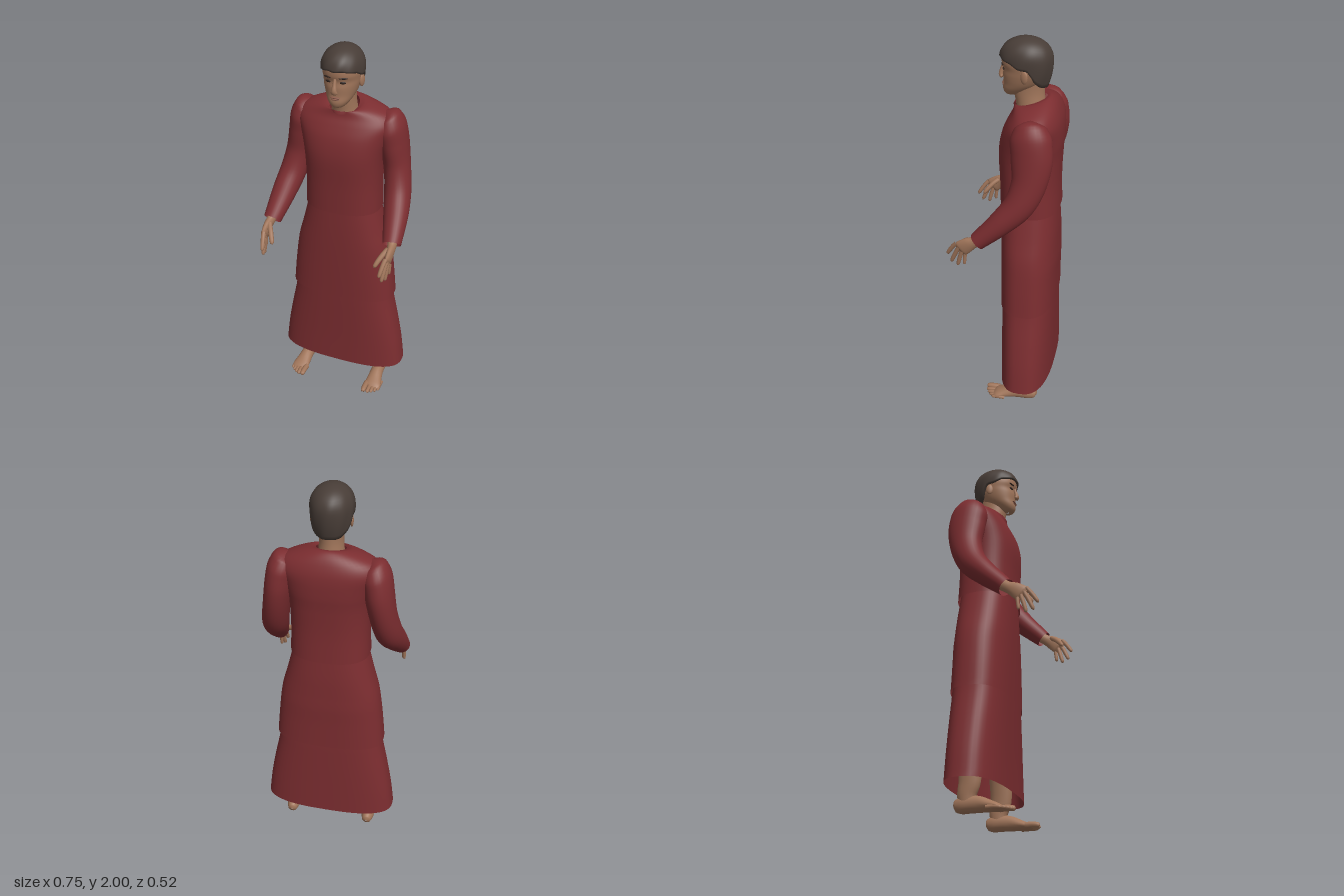
import * as THREE from 'three';

const mat = (name, color, side = THREE.FrontSide) => {
  const m = new THREE.MeshStandardMaterial({ color, side });
  m.name = name;
  return m;
};

// Smoothly resample rows of up to six numbers
function smooth(rows, steps) {
  const curve = (o) => new THREE.CatmullRomCurve3(
    rows.map((r) => new THREE.Vector3(r[o] ?? 0, r[o + 1] ?? 0, r[o + 2] ?? 0)));
  const a = curve(0), b = curve(3), out = [], n = (rows.length - 1) * steps;
  for (let i = 0; i <= n; i++) out.push([...a.getPoint(i / n).toArray(), ...b.getPoint(i / n).toArray()]);
  return out;
}

// Skin closed rings of points into one smooth surface
function skinRings(name, rings, material) {
  const n = rings[0].length, index = [];
  for (let i = 0; i < rings.length - 1; i++) {
    for (let j = 0; j < n; j++) {
      const a = i * n + j, b = i * n + (j + 1) % n;
      index.push(a, b, b + n, a, b + n, a + n);
    }
  }
  const g = new THREE.BufferGeometry().setFromPoints(rings.flat());
  g.setIndex(index);
  g.computeVertexNormals();
  const mesh = new THREE.Mesh(g, material);
  mesh.name = name;
  return mesh;
}

const pow = (v, e) => Math.sign(v) * Math.abs(v) ** e;

// Upright body from rows of [y, half width, front z, back z, roundness, tilt]
function loft(name, rows, material, steps = 4, n = 48) {
  const rings = smooth(rows, steps).map(([y, hx, zf, zb, e, tilt]) =>
    Array.from({ length: n }, (_, j) => {
      const a = (j / n) * Math.PI * 2, zr = (zf - zb) / 2 * pow(Math.cos(a), 2 / e);
      return new THREE.Vector3(hx * pow(Math.sin(a), 2 / e), y - tilt * zr, (zf + zb) / 2 + zr);
    }));
  return skinRings(name, rings, material);
}

// Limb swept along rows of [x, y, z, side radius, depth radius]
function sweep(name, rows, material, steps = 4, n = 16) {
  const pts = smooth(rows, steps), pos = pts.map((p) => new THREE.Vector3(p[0], p[1], p[2]));
  const rings = pts.map((p, i) => {
    const t = pos[Math.min(i + 1, pos.length - 1)].clone().sub(pos[Math.max(i - 1, 0)]).normalize();
    const u = new THREE.Vector3(1, 0, 0).addScaledVector(t, -t.x).normalize();
    const v = u.clone().cross(t);
    return Array.from({ length: n }, (_, j) => {
      const a = (j / n) * Math.PI * 2;
      return pos[i].clone().addScaledVector(u, Math.sin(a) * p[3]).addScaledVector(v, Math.cos(a) * p[4]);
    });
  });
  return skinRings(name, rings, material);
}

// Tapered digit with a rounded tip
function digit(name, from, to, r, material, bend = 0) {
  const rows = [[0, 1], [0.35, 0.95], [0.7, 0.9], [0.92, 0.75], [1, 0.08]].map(([t, k]) => [
    from[0] + (to[0] - from[0]) * t,
    from[1] + (to[1] - from[1]) * t + bend * Math.sin(t * Math.PI),
    from[2] + (to[2] - from[2]) * t, r * k, r * k]);
  return sweep(name, rows, material, 2, 10);
}

function blob(name, pos, scale, material, yaw = 0) {
  const m = new THREE.Mesh(new THREE.SphereGeometry(1, 16, 12), material);
  m.name = name;
  m.position.set(...pos);
  m.scale.set(...scale);
  m.rotation.y = yaw;
  return m;
}

// Hair cap whose lower edge follows fringe, sideburns and nape
function hairCap(material) {
  const n = 64, rows = 18, rings = [];
  const hem = [1.905, 1.908, 1.9, 1.893, 1.87, 1.865, 1.8, 1.775, 1.77, 1.77];
  const point = (a, u, shrink) => {
    const d = Math.abs(a > Math.PI ? a - Math.PI * 2 : a) / Math.PI * 9, k = Math.min(Math.floor(d), 8);
    const low = THREE.MathUtils.lerp(hem[k], hem[k + 1], d - k);
    const y = 2 - (2 - low) * (1 - Math.cos(u * Math.PI / 2));
    const r = y > 1.89 ? Math.sqrt(Math.max(0, 1 - ((y - 1.89) / 0.11) ** 2.3)) : 1 - ((1.89 - y) / 0.3) ** 2;
    const k2 = r * shrink * (1 + 0.012 * u * Math.sin(a * 9 + u * 7));
    return new THREE.Vector3(0.104 * k2 * Math.sin(a), y, -0.07 + 0.128 * k2 * Math.cos(a));
  };
  for (let i = rows + 1; i >= 0; i--) {
    const u = Math.min(i / rows, 1), shrink = i > rows ? 0.8 : 1;
    rings.push(Array.from({ length: n }, (_, j) => point((j / n) * Math.PI * 2, u, shrink)));
  }
  return skinRings('hair', rings, material);
}

export function createModel() {
  const cloth = mat('dark red cloth', 0x7b2d30, THREE.DoubleSide);
  const skin = mat('skin', 0xa0755a);
  const hair = mat('dark brown hair', 0x483d37, THREE.DoubleSide);
  const dark = mat('eye brown', 0x2e221d);
  const lip = mat('lips', 0x8a5a4a);
  const model = new THREE.Group();
  model.name = 'robedFigure';

  // Robe: shirt, outer skirt and lower skirt
  model.add(loft('shirt', [
    [1.14, 0.2, 0.045, -0.255, 2.5, 0], [1.3, 0.196, 0.048, -0.25, 2.5, 0],
    [1.45, 0.205, 0.053, -0.255, 2.5, 0], [1.55, 0.23, 0.035, -0.26, 2.4, 0],
    [1.61, 0.25, 0.008, -0.255, 2.3, 0], [1.65, 0.232, -0.012, -0.242, 2.2, 0.03],
    [1.685, 0.165, -0.018, -0.22, 2.1, 0.1], [1.7, 0.1, -0.015, -0.19, 2, 0.22],
    [1.692, 0.072, -0.01, -0.172, 2, 0.3]], cloth));
  model.add(loft('outerSkirt', [
    [0.6, 0.286, 0.033, -0.253, 2.7, 0], [0.75, 0.272, 0.036, -0.254, 2.6, 0],
    [0.9, 0.252, 0.038, -0.255, 2.5, 0], [1.02, 0.22, 0.038, -0.252, 2.5, 0],
    [1.18, 0.18, 0.035, -0.24, 2.5, 0]], cloth));
  model.add(loft('lowerSkirt', [
    [0.14, 0.352, 0.024, -0.252, 2.7, 0], [0.28, 0.334, 0.024, -0.251, 2.7, 0],
    [0.42, 0.308, 0.026, -0.25, 2.7, 0], [0.6, 0.271, 0.029, -0.248, 2.7, 0],
    [0.75, 0.255, 0.03, -0.245, 2.6, 0]], cloth));

  // Head and neck
  const head = new THREE.Group();
  head.name = 'head';
  head.add(loft('neck', [
    [1.6, 0.075, -0.03, -0.18, 2, 0], [1.68, 0.062, -0.022, -0.165, 2, 0],
    [1.74, 0.057, -0.01, -0.16, 2, 0], [1.82, 0.06, -0.01, -0.165, 2, 0]], skin));
  head.add(loft('face', [
    [1.716, 0.004, 0.006, -0.01, 2, 0], [1.72, 0.03, 0.03, -0.04, 2, 0],
    [1.745, 0.054, 0.041, -0.09, 2.1, 0], [1.78, 0.073, 0.038, -0.14, 2.1, 0],
    [1.82, 0.085, 0.04, -0.17, 2.1, 0], [1.85, 0.09, 0.037, -0.178, 2.1, 0],
    [1.88, 0.093, 0.046, -0.18, 2.1, 0], [1.92, 0.09, 0.044, -0.18, 2, 0],
    [1.96, 0.06, 0.01, -0.14, 2, 0], [1.98, 0.01, -0.06, -0.08, 2, 0]], skin));
  head.add(sweep('nose', [
    [0, 1.87, 0.036, 0.007, 0.007], [0, 1.84, 0.044, 0.009, 0.01],
    [0, 1.812, 0.051, 0.014, 0.012], [0, 1.8, 0.048, 0.017, 0.011], [0, 1.794, 0.042, 0.002, 0.002]], skin));
  head.add(blob('upperLip', [0, 1.773, 0.037], [0.026, 0.005, 0.008], lip));
  head.add(blob('lowerLip', [0, 1.764, 0.037], [0.021, 0.005, 0.008], lip));
  head.add(hairCap(hair));
  for (const s of [1, -1]) {
    head.add(blob('eye', [s * 0.037, 1.85, 0.031], [0.015, 0.006, 0.004], dark, s * 0.3));
    head.add(blob('eyebrow', [s * 0.04, 1.873, 0.035], [0.022, 0.004, 0.005], dark, s * 0.32));
    head.add(blob('ear', [s * 0.092, 1.832, -0.078], [0.009, 0.032, 0.019], skin, -s * 0.3));
  }
  model.add(head);

  for (const s of [1, -1]) {
    const side = s > 0 ? 'left' : 'right';
    const m = (rows) => rows.map(([x, ...rest]) => [x * s, ...rest]);

    // Sleeve with an open cuff
    model.add(sweep(side + 'Sleeve', m([
      [0.19, 1.665, -0.13, 0.01, 0.01], [0.208, 1.64, -0.133, 0.062, 0.075],
      [0.228, 1.58, -0.14, 0.073, 0.1], [0.243, 1.5, -0.148, 0.071, 0.1],
      [0.264, 1.38, -0.14, 0.067, 0.085], [0.285, 1.27, -0.098, 0.068, 0.075],
      [0.305, 1.18, -0.02, 0.064, 0.062], [0.326, 1.066, 0.1, 0.047, 0.044]]), cloth, 5, 28));

    // Hand with palm, thumb and four fingers
    const hand = new THREE.Group();
    hand.name = side + 'Hand';
    hand.add(sweep('palm', m([
      [0.324, 1.1, 0.06, 0.026, 0.03], [0.33, 1.065, 0.11, 0.023, 0.029],
      [0.333, 1.045, 0.145, 0.019, 0.038], [0.333, 1.02, 0.178, 0.015, 0.042],
      [0.333, 1.008, 0.192, 0.003, 0.03]]), skin));
    hand.add(digit('thumb', [s * 0.322, 1.065, 0.145], [s * 0.275, 0.99, 0.22], 0.014, skin, 0.008));
    [[[0.329, 1.045, 0.203], [0.314, 0.965, 0.26]], [[0.332, 1.026, 0.19], [0.321, 0.925, 0.238]],
      [[0.335, 1.008, 0.176], [0.329, 0.913, 0.203]], [[0.338, 0.995, 0.16], [0.338, 0.93, 0.166]]]
      .forEach(([a, b], i) => hand.add(
        digit('finger', [s * a[0], a[1], a[2]], [s * b[0], b[1], b[2]], [0.012, 0.012, 0.0115, 0.01][i], skin, 0.005)));
    model.add(hand);

    // Leg and bare foot
    model.add(sweep(side + 'Leg', m([
      [0.218, 0.04, -0.125, 0.031, 0.04], [0.219, 0.09, -0.125, 0.033, 0.047],
      [0.22, 0.15, -0.112, 0.034, 0.055], [0.21, 0.35, -0.115, 0.05, 0.062],
      [0.18, 0.55, -0.105, 0.055, 0.06], [0.11, 1, -0.1, 0.075, 0.085]]), skin));
    const foot = new THREE.Group();
    foot.name = side + 'Foot';
    foot.add(sweep('sole', m([
      [0.216, 0.036, -0.19, 0.004, 0.004], [0.216, 0.038, -0.18, 0.024, 0.028],
      [0.217, 0.042, -0.14, 0.034, 0.041], [0.219, 0.04, -0.07, 0.035, 0.039],
      [0.222, 0.028, -0.01, 0.042, 0.027], [0.225, 0.019, 0.03, 0.047, 0.018],
      [0.225, 0.014, 0.05, 0.038, 0.009]]), skin, 4, 20));
    [[0.189, 0.1, 0.016], [0.213, 0.097, 0.012], [0.232, 0.087, 0.011], [0.249, 0.074, 0.0105], [0.264, 0.058, 0.01]]
      .forEach(([x, z, r]) => foot.add(digit('toe', [s * x, r + 0.004, z - 0.075], [s * x, r, z], r, skin, 0.003)));
    model.add(foot);
  }
  return model;
}
